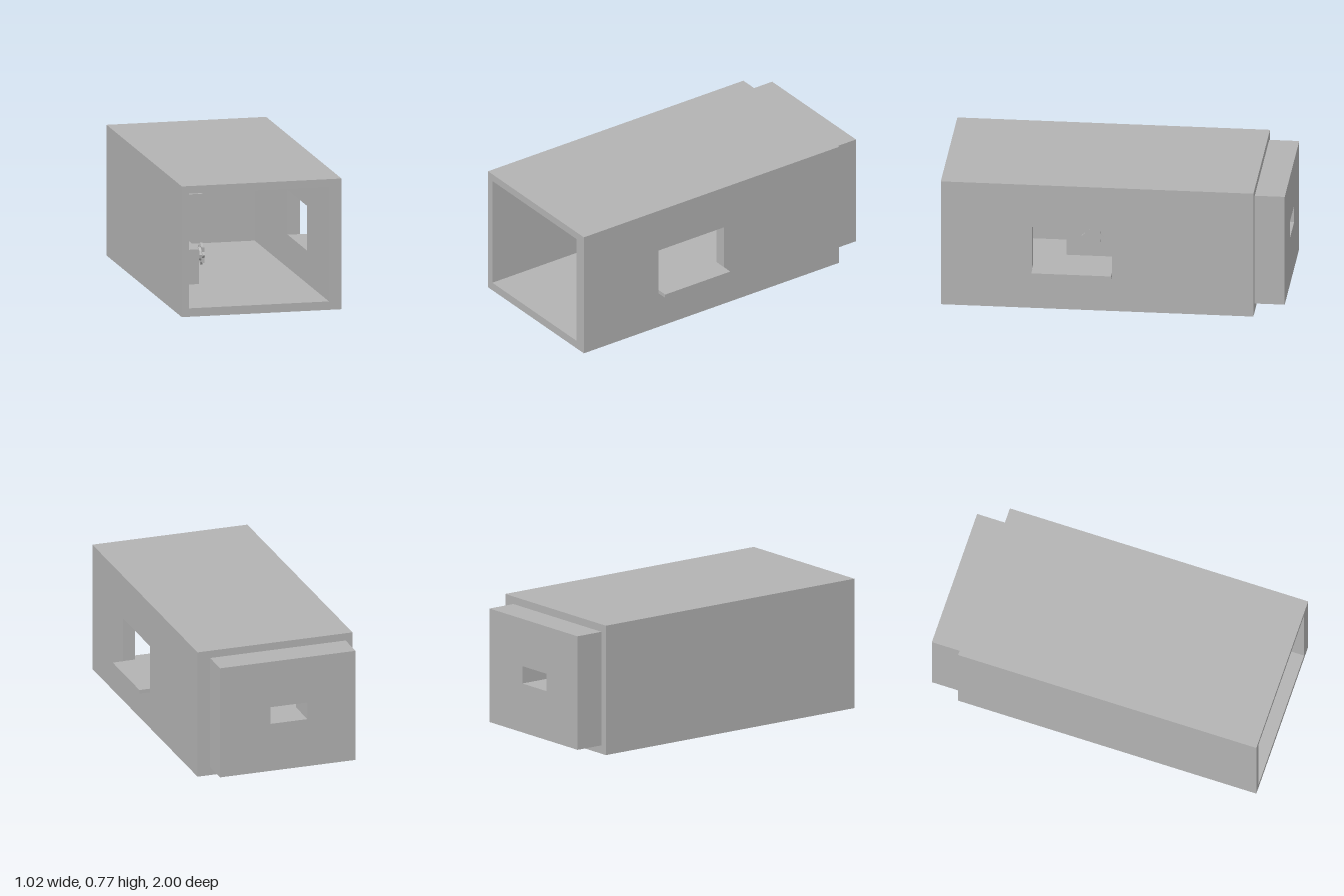
import * as THREE from 'three';

const grey = new THREE.MeshStandardMaterial({ color: 0xb2b2b2, flatShading: true });
grey.name = 'plain grey';

export function createModel() {
  const model = new THREE.Group();
  model.name = 'chamber';

  const add = (name, geometry, parent = model) => {
    const mesh = new THREE.Mesh(geometry, grey);
    mesh.name = name;
    parent.add(mesh);
    return mesh;
  };
  // Box from its minimum and maximum corners
  const box = (name, a, b, parent) => {
    const g = new THREE.BoxGeometry(b[0] - a[0], b[1] - a[1], b[2] - a[2]);
    g.translate((a[0] + b[0]) / 2, (a[1] + b[1]) / 2, (a[2] + b[2]) / 2);
    return add(name, g, parent);
  };
  const rect = (T, x0, y0, x1, y1) =>
    new T([[x0, y0], [x1, y0], [x1, y1], [x0, y1]].map(p => new THREE.Vector2(...p)));
  const extrude = (shape, depth) => new THREE.ExtrudeGeometry(shape, { depth, bevelEnabled: false });

  // Floor, ceiling and plain side wall as one channel section
  const channel = new THREE.Shape([
    [-0.51, 0], [0.37, 0], [0.37, 0.05], [-0.467, 0.05],
    [-0.467, 0.73], [0.37, 0.73], [0.37, 0.775], [-0.51, 0.775],
  ].map(p => new THREE.Vector2(...p)));
  add('shell', extrude(channel, 1.825).translate(0, 0, -0.825));

  // Thicker side wall with the window opening, drawn along -z
  const wall = rect(THREE.Shape, -1, 0, 0.825, 0.775);
  wall.holes.push(rect(THREE.Path, -0.468, 0.245, 0, 0.51));
  add('windowWall', extrude(wall, 0.075).rotateY(Math.PI / 2).translate(0.37, 0, 0));
  box('windowShelf', [0.445, 0.223, 0], [0.51, 0.245, 0.465]);

  // Back plug with its slot
  const plug = rect(THREE.Shape, -0.467, 0.05, 0.368, 0.73);
  plug.holes.push(rect(THREE.Path, -0.17, 0.343, 0.057, 0.447));
  add('backPlug', extrude(plug, 0.2).translate(0, 0, -1));

  // Cabinet in the corner
  box('cabinet', [-0.465, 0.05, 0.01], [-0.243, 0.256, 0.335]);

  // Knob on the side of the cabinet, turned to point along +x
  const knob = new THREE.Group();
  knob.name = 'knob';
  knob.position.set(-0.243, 0.197, 0.178);
  model.add(knob);
  const turned = (rBack, rFront, x0, x1) =>
    new THREE.CylinderGeometry(rFront, rBack, x1 - x0, 10)
      .rotateZ(-Math.PI / 2).translate((x0 + x1) / 2, 0, 0);
  add('knobShaft', turned(0.022, 0.022, 0, 0.04), knob);
  add('knobHub', turned(0.036, 0.046, 0.034, 0.05), knob);

  // Star-shaped grip
  const star = new THREE.Shape();
  for (let i = 0; i < 16; i++) {
    const r = i % 2 ? 0.048 : 0.065;
    const a = Math.PI / 2 + (i * Math.PI) / 8;
    star[i ? 'lineTo' : 'moveTo'](r * Math.cos(a), r * Math.sin(a));
  }
  add('knobGrip', extrude(star, 0.014).rotateY(Math.PI / 2).translate(0.045, 0, 0), knob);

  return model;
}
